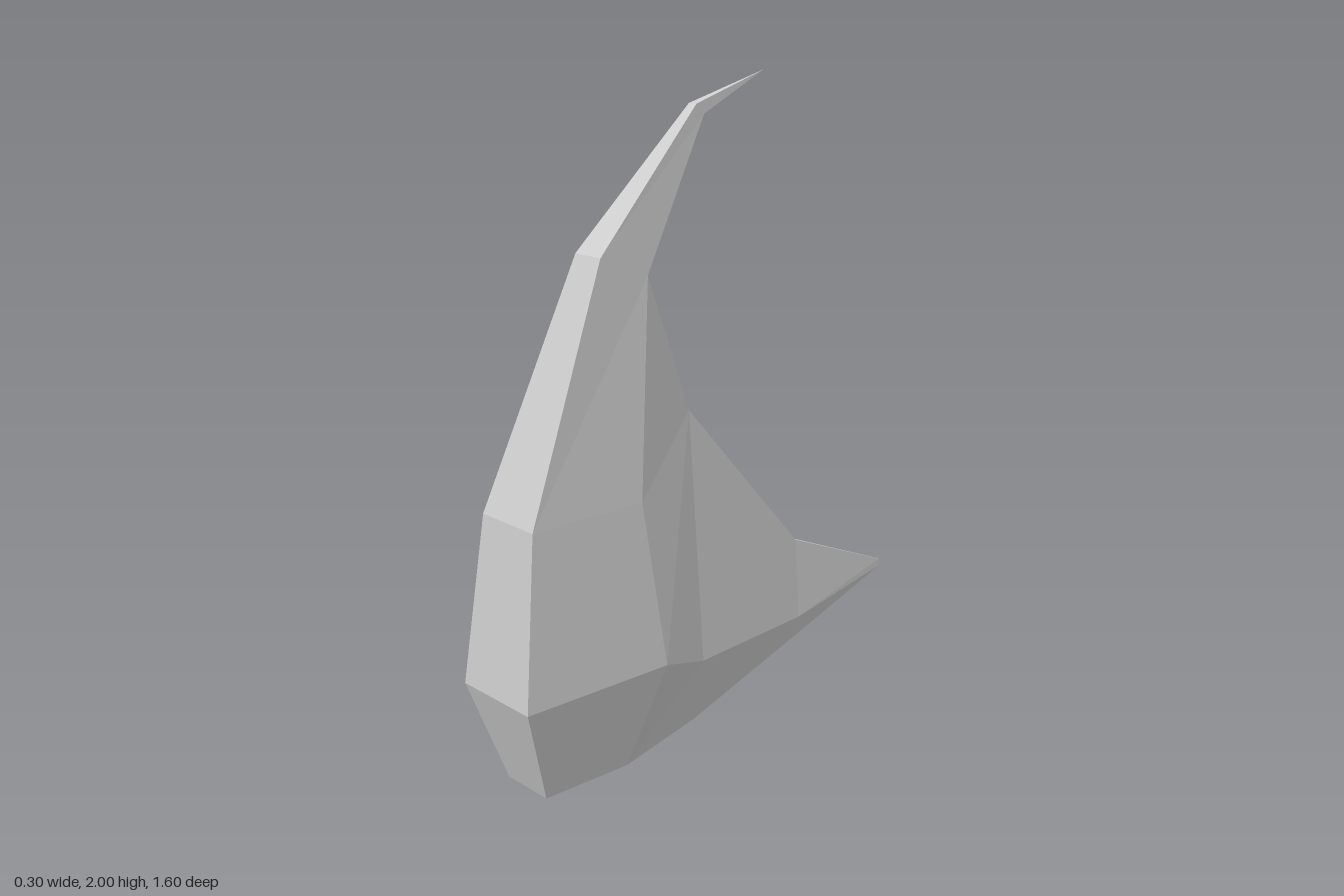
import * as THREE from 'three';

// Half of the horn-shaped fin: name -> [half width, y, z]
const P = {
  f0: [0.09, 0, 0.70], f1: [0.15, 0.31, 0.80], f2: [0.115, 0.82, 0.74],
  f3: [0.055, 1.53, 0.44], f4: [0.016, 1.92, 0.05], tip: [0, 2, -0.23],
  m0: [0.09, 0, 0.40], m1: [0.15, 0.31, 0.29], m2: [0.115, 0.82, 0.35],
  b3: [0.055, 1.46, 0.27], b4: [0.016, 1.89, 0.02],
  r0: [0.055, 0.04, 0.10], r1: [0.10, 0.25, 0.10], r2: [0.037, 1.03, 0.10],
  s0: [0.02, 0.17, -0.38], s1: [0.035, 0.24, -0.38], s2: [0.015, 0.50, -0.38],
  e0: [0.003, 0.30, -0.80], e1: [0.003, 0.325, -0.80],
};

// Facets of the left flank, counter-clockwise seen from +x
const FLANK = [
  'f0 m0 m1 f1', 'f1 m1 m2 f2', 'f2 m2 b3 f3', 'f3 b3 b4 f4', 'f4 b4 tip',
  'm0 r0 r1 m1', 'm1 r1 r2 m2', 'm2 r2 b3',
  'r0 s0 s1 r1', 'r1 s1 s2 r2', 's0 e0 s1', 's1 e0 e1 s2',
];

// Outline shared by both flanks, in the same direction
const RIM = 'f0 m0 r0 s0 e0 e1 s2 r2 b3 b4 tip f4 f3 f2 f1'.split(' ');

const left = (n) => new THREE.Vector3(...P[n]);
const right = (n) => left(n).multiply(new THREE.Vector3(-1, 1, 1));

function facetGeometry(polygons) {
  const positions = [];
  for (const poly of polygons) {
    for (let i = 1; i < poly.length - 1; i++) {
      const tri = new THREE.Triangle(poly[0], poly[i], poly[i + 1]);
      if (tri.getArea() < 1e-7) continue;
      for (const v of [tri.a, tri.b, tri.c]) positions.push(v.x, v.y, v.z);
    }
  }
  const geometry = new THREE.BufferGeometry();
  geometry.setAttribute('position', new THREE.Float32BufferAttribute(positions, 3));
  geometry.computeVertexNormals();
  return geometry;
}

export function createModel() {
  const group = new THREE.Group();
  group.name = 'curvedHorn';
  const lightGrey = new THREE.MeshStandardMaterial({ color: 0xcccccc });
  lightGrey.name = 'lightGrey';

  const add = (name, polygons) => {
    const mesh = new THREE.Mesh(facetGeometry(polygons), lightGrey);
    mesh.name = name;
    group.add(mesh);
  };

  // Mirrored flanks
  const faces = FLANK.map((f) => f.split(' '));
  add('leftFlank', faces.map((f) => f.map(left)));
  add('rightFlank', faces.map((f) => f.map(right).reverse()));

  // Edge band joining the flanks around the whole outline
  add('edgeBand', RIM.map((a, i) => {
    const b = RIM[(i + 1) % RIM.length];
    return [left(b), left(a), right(a), right(b)];
  }));

  return group;
}
